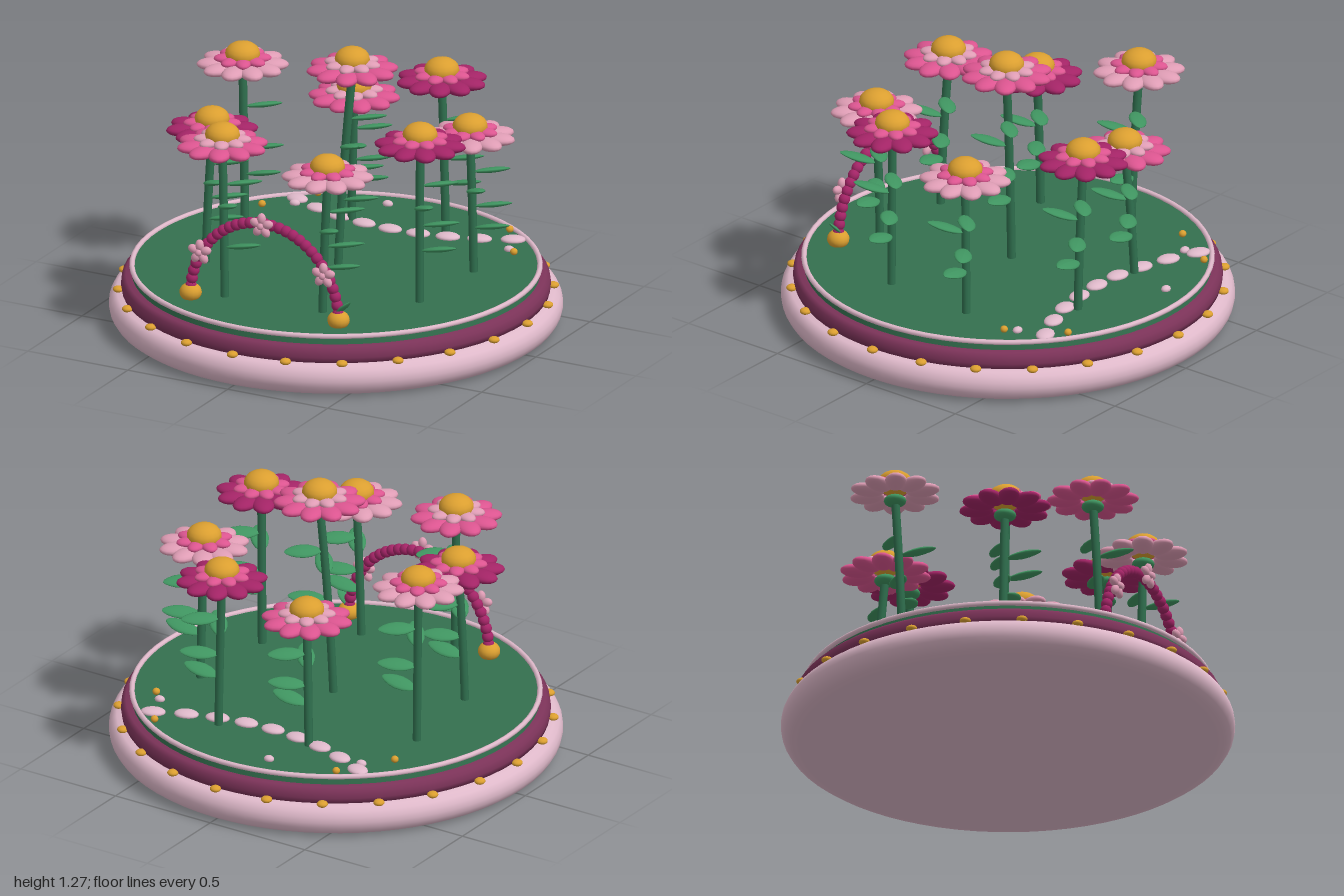
import * as THREE from 'three';

const mat = (name, color, side = THREE.FrontSide) => {
  const m = new THREE.MeshStandardMaterial({ color, side });
  m.name = name;
  return m;
};
const palePink = mat('palePink', 0xdfb9ca);
const plum = mat('plum', 0x7c3359);
const grass = mat('grassGreen', 0x34704f);
const stemGreen = mat('stemGreen', 0x2f6f4e);
const leafGreen = mat('leafGreen', 0x3f9460);
const hotPink = mat('hotPink', 0xdc5590);
const softPink = mat('softPink', 0xdf9db5);
const magenta = mat('magenta', 0xa32466);
const gold = mat('gold', 0xdb9f30);

const ball = new THREE.SphereGeometry(1, 16, 10);

function add(parent, name, geometry, material, x = 0, y = 0, z = 0) {
  const mesh = new THREE.Mesh(geometry, material);
  mesh.name = name;
  mesh.position.set(x, y, z);
  parent.add(mesh);
  return mesh;
}

function blob(parent, name, material, [x, y, z], [sx, sy, sz]) {
  const mesh = add(parent, name, ball, material, x, y, z);
  mesh.scale.set(sx, sy, sz);
  return mesh;
}

function group(parent, name, x = 0, y = 0, z = 0) {
  const g = new THREE.Group();
  g.name = name;
  g.position.set(x, y, z);
  parent.add(g);
  return g;
}

// Ring of flat ellipsoid petals around the local y axis
function petalRing(parent, name, material, count, radius, y, size, offset = 0) {
  for (let i = 0; i < count; i++) {
    const a = offset + (i / count) * Math.PI * 2;
    const p = blob(parent, name, material, [Math.cos(a) * radius, y, -Math.sin(a) * radius], size);
    p.rotation.y = a;
  }
}

// Pointed, slightly thick leaf starting at the origin and running along +x
const leafShape = new THREE.SphereGeometry(1, 14, 8);
leafShape.rotateZ(-Math.PI / 2);
{
  const p = leafShape.attributes.position;
  for (let i = 0; i < p.count; i++) {
    const x = p.getX(i);
    const taper = 1 - 0.25 * x * x;
    p.setXYZ(i, (x + 1) * 0.085 + 0.008, p.getY(i) * 0.013 * taper, p.getZ(i) * 0.042 * taper);
  }
  leafShape.computeVertexNormals();
}

function leaf(parent, [x, y, z], yaw) {
  const l = add(parent, 'leaf', leafShape, leafGreen, x, y, z);
  l.rotation.set(-0.22, yaw, 0.22, 'ZXY');
}

function flower(parent, x, y, z, outer, inner, bx, bz, turn) {
  const g = group(parent, 'flower');
  // Slightly bowed stem
  const curve = new THREE.QuadraticBezierCurve3(
    new THREE.Vector3(bx, 0.24, bz),
    new THREE.Vector3(bx + (x - bx) * 0.3, (y + 0.24) / 2, bz + (z - bz) * 0.3),
    new THREE.Vector3(x, y - 0.02, z));
  add(g, 'stem', new THREE.TubeGeometry(curve, 10, 0.019, 10), stemGreen);
  for (const [t, yaw] of [[0.34, 0.1], [0.5, 0.55], [0.62, -0.85], [0.76, 0.75]]) {
    leaf(g, curve.getPoint(t).toArray(), yaw);
  }
  // Flower head
  const head = group(g, 'flowerHead', x, y, z);
  blob(head, 'calyx', leafGreen, [0, -0.035, 0], [0.05, 0.026, 0.05]);
  petalRing(head, 'outerPetal', outer, 10, 0.127, 0, [0.077, 0.026, 0.05], turn);
  petalRing(head, 'innerPetal', inner, 8, 0.078, 0.028, [0.05, 0.02, 0.034], turn + 0.2);
  blob(head, 'flowerCentre', gold, [0, 0.05, 0], [0.078, 0.055, 0.078]);
}

function buildBase(root) {
  const base = group(root, 'base');
  const lathe = (name, pts, material) => add(base, name,
    new THREE.LatheGeometry(pts.map(([r, y]) => new THREE.Vector2(r, y)), 72), material);
  const rounded = [[0.925, 0], [0.955, 0.007], [0.98, 0.025], [0.995, 0.05], [1, 0.075],
    [0.997, 0.1], [0.985, 0.125], [0.965, 0.14], [0.93, 0.146]];
  lathe('roundedPlinth', rounded, palePink);
  const bottom = add(base, 'plinthBottom', new THREE.CircleGeometry(0.925, 72), palePink);
  bottom.rotation.x = Math.PI / 2;
  lathe('plumBand', [[0.9, 0.143], [0.942, 0.146], [0.946, 0.17], [0.942, 0.2], [0.925, 0.216], [0.88, 0.219]], plum);
  add(base, 'lawn', new THREE.CylinderGeometry(0.895, 0.9, 0.05, 72), grass, 0, 0.228, 0);
  const rim = add(base, 'lawnRim', new THREE.TorusGeometry(0.898, 0.012, 8, 72), palePink, 0, 0.255, 0);
  rim.rotation.x = Math.PI / 2;
  for (let i = 0; i < 24; i++) {
    const a = (i / 24) * Math.PI * 2;
    blob(base, 'goldBead', gold, [Math.cos(a) * 0.957, 0.15, Math.sin(a) * 0.957], [0.025, 0.015, 0.025]);
  }
}

function buildArch(root) {
  const arch = group(root, 'arch', 0, 0.27, 0.66);
  const at = (a) => [Math.cos(a) * 0.37, Math.sin(a) * 0.395, 0];
  // Closely strung beads along a half ellipse
  const count = 32;
  for (let i = 0; i <= count; i++) {
    const a = (i / count) * Math.PI;
    const b = blob(arch, 'archBead', magenta, at(a), [0.026, 0.027, 0.026]);
    b.rotation.z = a;
  }
  for (const s of [-1, 1]) {
    blob(arch, 'archFoot', gold, [s * 0.37, 0.01, 0], [0.05, 0.042, 0.05]);
  }
  // Small blossoms facing forward
  for (const a of [0.58, Math.PI / 2, Math.PI - 0.58]) {
    const [x, y] = at(a);
    const blossom = group(arch, 'archBlossom', x, y, 0.028);
    blossom.rotation.x = Math.PI / 2;
    petalRing(blossom, 'blossomPetal', softPink, 5, 0.032, 0, [0.027, 0.018, 0.02], Math.PI / 2);
    blob(blossom, 'blossomCentre', softPink, [0, 0.012, 0], [0.016, 0.014, 0.016]);
  }
  const sprig = add(arch, 'archLeaf', leafShape, leafGreen, 0.35, 0.03, 0);
  sprig.scale.setScalar(0.6);
  sprig.rotation.set(-0.3, 0, 0.75, 'ZXY');
}

function buildPath(root) {
  const path = group(root, 'gardenPath');
  for (let i = -4; i <= 4; i++) {
    const x = i * 0.135;
    const stone = blob(path, 'steppingStone', palePink,
      [x, 0.258, -0.5 - 0.48 * x * x], [0.056, 0.018, 0.041]);
    stone.rotation.y = i * 0.1;
  }
  for (const [x, z] of [[-0.155, -0.765], [-0.52, -0.58], [0.585, -0.52]]) {
    blob(path, 'pebble', palePink, [x, 0.26, z], [0.024, 0.016, 0.02]);
  }
  for (const s of [-1, 1]) {
    for (const [x, z] of [[0.48, -0.72], [0.63, -0.48]]) {
      blob(path, 'goldPebble', gold, [s * x, 0.27, z], [0.017, 0.016, 0.017]);
    }
  }
}

export function createModel() {
  const root = new THREE.Group();
  root.name = 'flowerGarden';
  buildBase(root);
  // Head x, y, z, outer and inner colours, stem foot x, z
  const flowers = [
    [0.06, 1.17, -0.04, hotPink, softPink, 0, -0.02],
    [-0.185, 0.845, -0.51, hotPink, softPink, -0.215, -0.54],
    [0.21, 0.965, -0.59, magenta, hotPink, 0.235, -0.58],
    [-0.605, 1.005, -0.255, softPink, hotPink, -0.58, -0.23],
    [0.56, 0.89, -0.205, softPink, hotPink, 0.57, -0.22],
    [-0.495, 0.88, 0.23, magenta, hotPink, -0.525, 0.235],
    [0.54, 0.985, 0.22, magenta, hotPink, 0.54, 0.225],
    [-0.27, 0.95, 0.55, hotPink, softPink, -0.245, 0.575],
    [0.25, 0.89, 0.54, softPink, hotPink, 0.225, 0.54],
  ];
  flowers.forEach((f, i) => flower(root, ...f, i * 0.37));
  buildArch(root);
  buildPath(root);
  return root;
}
